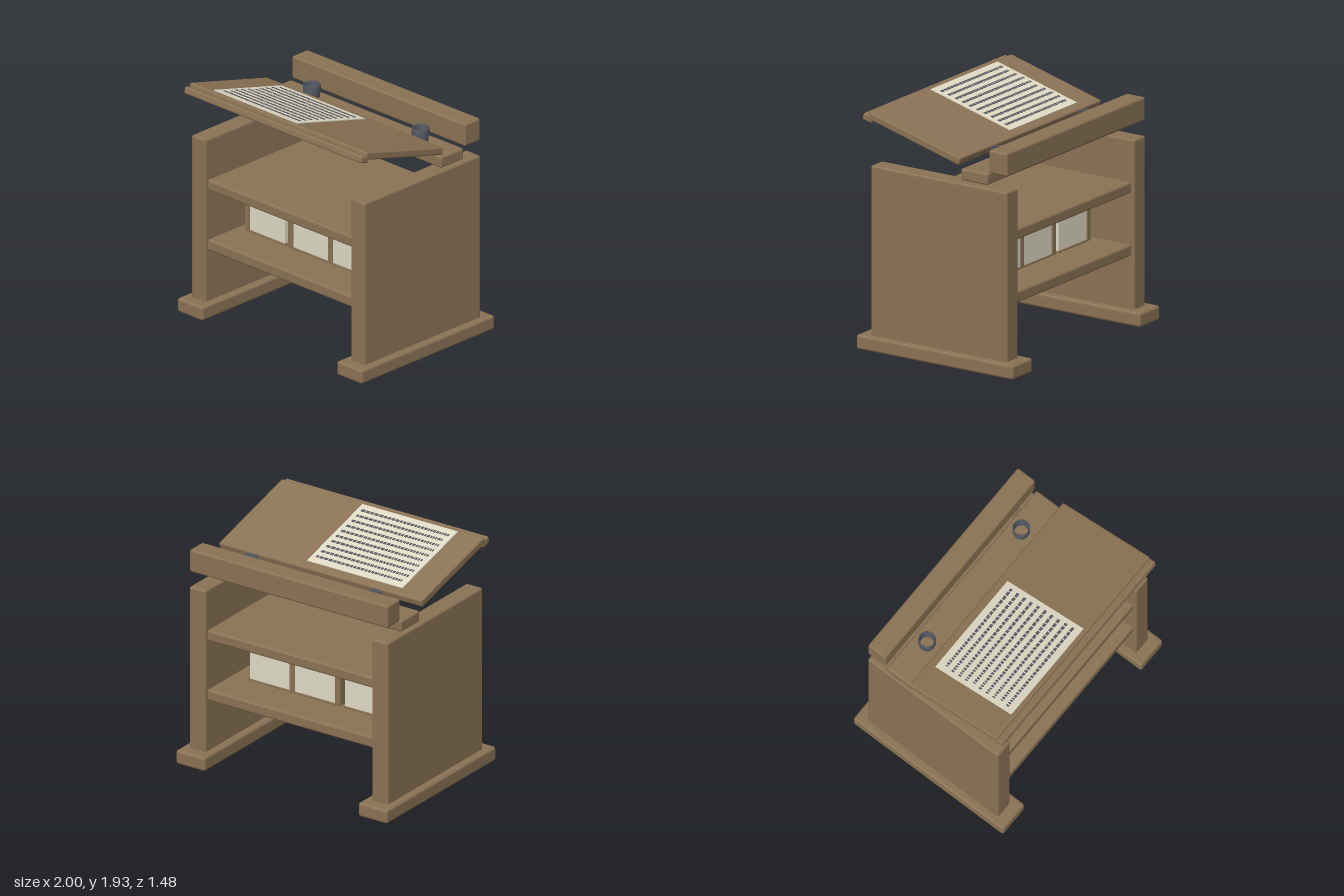
import * as THREE from 'three';
import { RoundedBoxGeometry } from 'three/addons/geometries/RoundedBoxGeometry.js';
import { mergeGeometries } from 'three/addons/utils/BufferGeometryUtils.js';

const mat = (color) => new THREE.MeshStandardMaterial({ color });
const wood = mat(0x8b7355);
const paper = mat(0xe0dbc6);
const ink = mat(0x5c5c64);
const brass = mat(0x8f8047);
const pewter = mat(0x555b66);
pewter.side = THREE.DoubleSide;

// Softened box given by its [min, max] range on each axis
function block(parent, name, [x0, x1], [y0, y1], [z0, z1], material = wood, radius = 0.018) {
  const w = x1 - x0, h = y1 - y0, d = z1 - z0;
  const geometry = radius > 0
    ? new RoundedBoxGeometry(w, h, d, 2, Math.min(radius, w / 2.5, h / 2.5, d / 2.5))
    : new THREE.BoxGeometry(w, h, d);
  const mesh = new THREE.Mesh(geometry, material);
  mesh.name = name;
  mesh.position.set((x0 + x1) / 2, (y0 + y1) / 2, (z0 + z1) / 2);
  parent.add(mesh);
  return mesh;
}

// Book lying flat: spine on one side, two covers, page block and a clasp
function book(name, x, height, claspX) {
  const g = new THREE.Group();
  g.name = name;
  const y = 0.64, top = y + height;
  block(g, 'spine', [x, x + 0.05], [y, top + 0.015], [-0.29, 0.29], wood, 0.008);
  block(g, 'bottomCover', [x + 0.04, x + 0.44], [y, y + 0.015], [-0.29, 0.29], wood, 0.004);
  block(g, 'topCover', [x + 0.04, x + 0.44], [top - 0.015, top], [-0.29, 0.29], wood, 0.004);
  block(g, 'pages', [x + 0.045, x + 0.43], [y + 0.015, top - 0.015], [-0.28, 0.28], paper, 0);
  block(g, 'clasp', [claspX, claspX + 0.095], [top + 0.004, top + 0.014], [-0.05, 0.05], brass, 0);
  return g;
}

// Rows of plain dashes, a little wider toward the right
function dashRows() {
  const dashes = [];
  for (let row = 0; row < 10; row++) {
    let x = -0.69 + (row % 4 === 0 ? 0.015 : 0);
    for (let i = 0; x < 0.125; i++) {
      const w = Math.min(0.009 + 0.0009 * i + 0.007 * ((i * 7 + row * 3) % 4) / 3, 0.135 - x);
      dashes.push(new THREE.BoxGeometry(w, 0.004, 0.024)
        .translate(x + w / 2, 0.039, -0.292 + row * 0.0702));
      x += w + 0.01;
    }
  }
  return mergeGeometries(dashes);
}

export function createModel() {
  const model = new THREE.Group();
  model.name = 'writingDesk';

  // Side panels and feet
  for (const s of [-1, 1]) {
    const span = (a, b) => (s > 0 ? [a, b] : [-b, -a]);
    const side = s > 0 ? 'left' : 'right';
    block(model, side + 'Panel', span(0.785, 0.94), [0.1, 1.49], [-0.645, 0.645]);
    block(model, side + 'Foot', span(0.725, 1), [0, 0.118], [-0.742, 0.742], wood, 0.022);
  }

  // Shelves
  block(model, 'upperShelf', [-0.8, 0.8], [1.055, 1.145], [-0.615, 0.615]);
  block(model, 'lowerShelf', [-0.8, 0.8], [0.545, 0.638], [-0.615, 0.615]);

  // Back rails
  block(model, 'inkRail', [-0.938, 0.938], [1.515, 1.61], [-0.46, -0.205]);
  block(model, 'backRail', [-0.938, 0.938], [1.615, 1.805], [-0.645, -0.47]);

  // Inkwells: open cups with a slightly wider upper half
  const wellProfile = [[0.062, 1.605], [0.064, 1.64], [0.07, 1.655], [0.07, 1.712],
    [0.067, 1.719], [0.061, 1.719], [0.059, 1.71], [0.057, 1.605]]
    .map(([r, y]) => new THREE.Vector2(r, y));
  for (const s of [-1, 1]) {
    const well = new THREE.Mesh(new THREE.LatheGeometry(wellProfile, 16), pewter);
    well.name = s > 0 ? 'leftInkwell' : 'rightInkwell';
    well.position.set(s * 0.588, 0, -0.335);
    model.add(well);
  }

  // Tilted writing board with front lip, sheet and dashes
  const slope = new THREE.Group();
  slope.name = 'writingSlope';
  slope.position.set(0, 1.783, 0.22);
  slope.rotation.x = -THREE.MathUtils.degToRad(15);
  block(slope, 'board', [-0.96, 0.96], [-0.0315, 0.0315], [-0.444, 0.444], wood, 0.014);
  block(slope, 'lip', [-0.96, 0.96], [-0.055, 0.003], [0.405, 0.495], wood, 0.014);
  block(slope, 'sheet', [-0.728, 0.175], [0.03, 0.038], [-0.366, 0.412], paper, 0);
  const dashes = new THREE.Mesh(dashRows(), ink);
  dashes.name = 'ruledDashes';
  slope.add(dashes);
  model.add(slope);

  // Books on the lower shelf
  model.add(book('rightBook', -0.71, 0.315, -0.385));
  model.add(book('middleBook', -0.24, 0.275, 0.088));
  model.add(book('leftBook', 0.19, 0.355, 0.518));

  return model;
}
